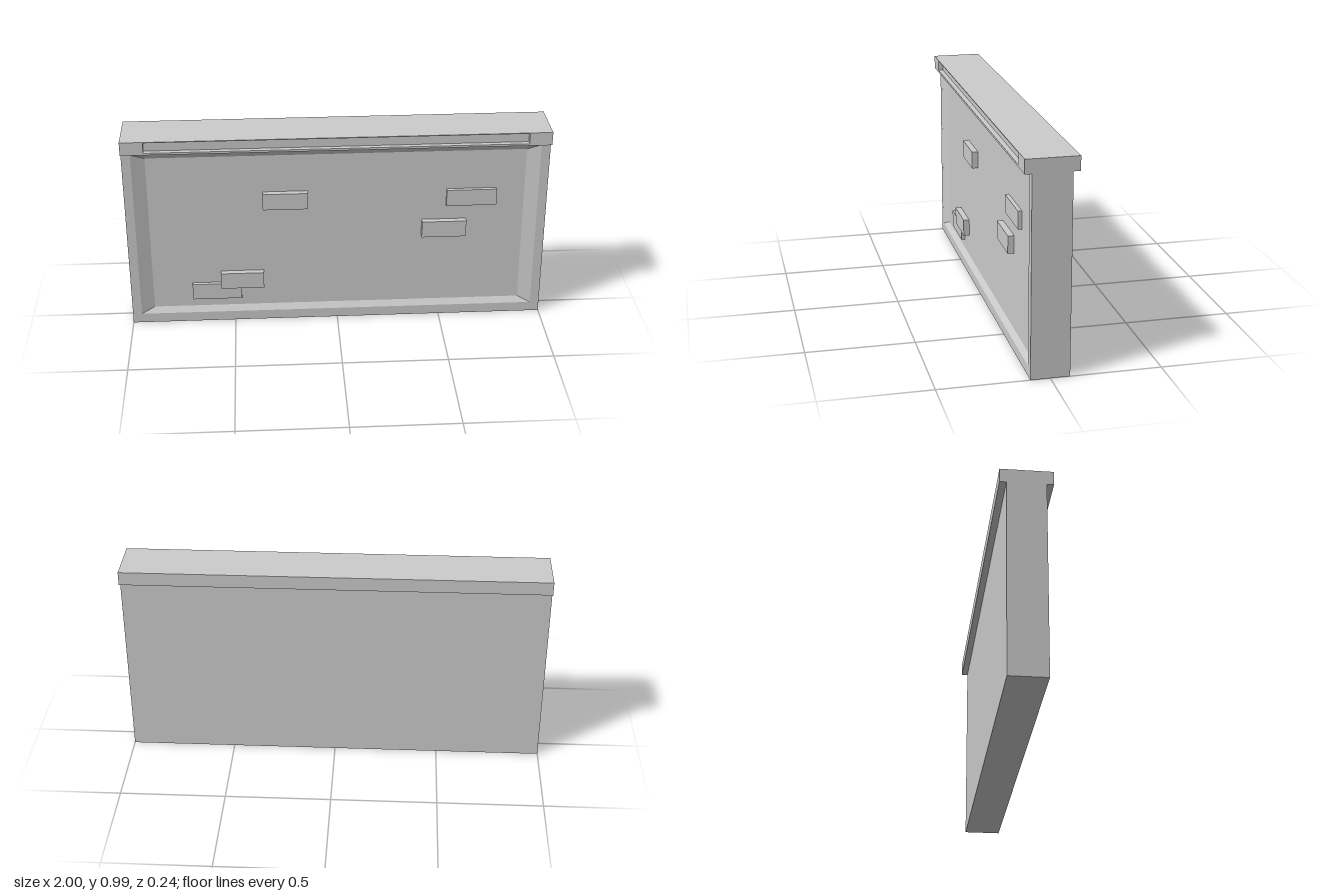
import * as THREE from 'three';

const material = new THREE.MeshStandardMaterial({ color: 0xcccccc, flatShading: true });

// Lofts through rectangles [halfWidth, bottom, top, z] and caps both ends.
function loftRects(name, rects) {
  const rings = rects.map(([w, y0, y1, z]) => [[-w, y0, z], [w, y0, z], [w, y1, z], [-w, y1, z]]);
  const positions = [];
  const quad = (a, b, c, d) => positions.push(...a, ...b, ...c, ...a, ...c, ...d);
  for (let r = 0; r < rings.length - 1; r++) {
    for (let i = 0; i < 4; i++) {
      const j = (i + 1) % 4;
      quad(rings[r][i], rings[r][j], rings[r + 1][j], rings[r + 1][i]);
    }
  }
  const [a, b, c, d] = rings[0];
  quad(d, c, b, a);
  quad(...rings[rings.length - 1]);
  const geometry = new THREE.BufferGeometry();
  geometry.setAttribute('position', new THREE.Float32BufferAttribute(positions, 3));
  geometry.computeVertexNormals();
  const mesh = new THREE.Mesh(geometry, material);
  mesh.name = name;
  return mesh;
}

export function createModel() {
  const group = new THREE.Group();
  group.name = 'wallSegment';
  const floorZ = 0.069;

  // Wall slab with a bevelled panel sunk into its front
  group.add(loftRects('wallBody', [
    [1, 0, 0.92, -0.088],
    [1, 0, 0.92, 0.088],
    [0.957, 0.048, 0.908, 0.088],
    [0.893, 0.076, 0.88, floorZ],
  ]));

  // Overhanging coping with a long groove along its front
  group.add(loftRects('coping', [
    [1, 0.92, 0.985, -0.119],
    [1, 0.92, 0.985, 0.119],
    [0.893, 0.93, 0.981, 0.119],
    [0.893, 0.93, 0.981, 0.095],
  ]));

  // Raised bricks on the panel: x centre, y centre, width, front z
  const bricks = [
    [-0.246, 0.649, 0.214, 0.098],
    [0.64, 0.64, 0.239, 0.087],
    [0.512, 0.479, 0.213, 0.098],
    [-0.46, 0.225, 0.208, 0.098],
    [-0.584, 0.163, 0.238, 0.087],
  ];
  const backZ = floorZ - 0.01;
  bricks.forEach(([x, y, width, frontZ], i) => {
    const brick = new THREE.Mesh(new THREE.BoxGeometry(width, 0.083, frontZ - backZ), material);
    brick.position.set(x, y, (frontZ + backZ) / 2);
    brick.name = `brick${i + 1}`;
    group.add(brick);
  });

  return group;
}
